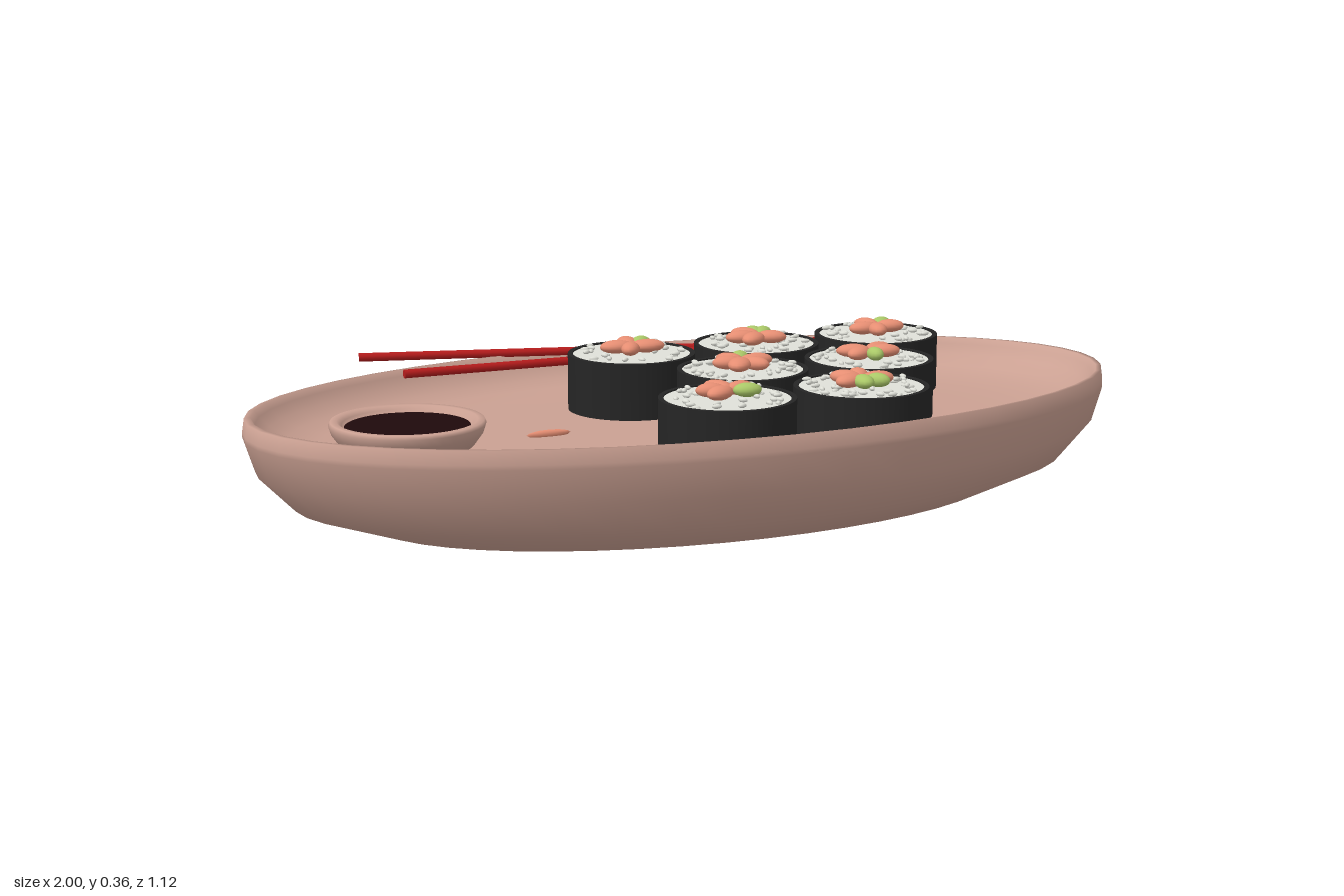
import * as THREE from 'three';

const mat = (name, color) => {
  const m = new THREE.MeshStandardMaterial({ color });
  m.name = name;
  return m;
};

export function createModel() {
  const root = new THREE.Group();
  const clay = mat('clay', 0xcaa092);
  const nori = mat('seaweed', 0x252525);
  const riceMat = mat('rice', 0xdfe0d8);
  const salmon = mat('salmon', 0xe68e73);
  const avocado = mat('avocado', 0xaac868);
  const lacquer = mat('red lacquer', 0xb41c1c);
  const soy = mat('soy sauce', 0x1f090b);

  let seed = 7;
  const rand = () => (seed = (seed * 16807) % 2147483647) / 2147483647;

  const add = (parent, name, geometry, material, x = 0, y = 0, z = 0) => {
    const mesh = new THREE.Mesh(geometry, material);
    mesh.name = name;
    mesh.position.set(x, y, z);
    parent.add(mesh);
    return mesh;
  };
  const lathe = (points, sides) =>
    new THREE.LatheGeometry(points.map(([r, y]) => new THREE.Vector2(r, y)), sides);

  // Oval platter: one closed profile, outside then inside
  const platter = add(root, 'platter', lathe([
    [0, 0], [0.35, 0.004], [0.53, 0.01], [0.73, 0.03], [0.9, 0.088], [0.975, 0.165],
    [0.999, 0.24], [0.999, 0.25], [0.994, 0.28], [0.981, 0.28], [0.972, 0.266],
    [0.95, 0.244], [0.91, 0.222], [0.85, 0.207], [0.75, 0.199], [0.6, 0.197],
    [0.4, 0.198], [0, 0.198],
  ], 48), clay, 0, 0, 0.032);
  platter.scale.z = 0.528;

  // Thin sliver on the platter floor
  add(root, 'sliver', new THREE.SphereGeometry(1, 10, 6), salmon, -0.34, 0.203, 0.03)
    .scale.set(0.05, 0.009, 0.008);

  // Sauce dish
  const dish = new THREE.Group();
  dish.name = 'sauceDish';
  dish.position.set(-0.652, 0, 0.022);
  root.add(dish);
  add(dish, 'dishBowl', lathe([
    [0.1, 0.19], [0.14, 0.206], [0.16, 0.234], [0.166, 0.252], [0.162, 0.26],
    [0.148, 0.26], [0.138, 0.253], [0.13, 0.238], [0, 0.235],
  ], 40), clay);
  add(dish, 'sauce', new THREE.CylinderGeometry(0.133, 0.133, 0.005, 40), soy, 0, 0.2445, 0);

  // Rolls: centre, salmon angles, avocado angles (degrees, seen from above)
  const rolls = [
    [-0.066, -0.171, [85, 175, 245, -20], [38]],
    [0.244, -0.171, [175, 235, -35, 110], [45, 75]],
    [0.554, -0.171, [100, 190, -5, 250], [45]],
    [0.089, 0.094, [120, 175, 10, 235, -60], [75]],
    [0.399, 0.094, [30, 150, 205, -15], [262]],
    [-0.066, 0.359, [100, 160, 220, 20], [-28]],
    [0.244, 0.359, [75, 135, 200, -15], [250, -60]],
  ];
  const wrapGeo = lathe([
    [0.13, 0.196], [0.144, 0.196], [0.144, 0.196], [0.144, 0.325], [0.144, 0.325],
    [0.133, 0.325], [0.133, 0.325], [0.133, 0.3],
  ], 40);
  const riceGeo = new THREE.CylinderGeometry(0.134, 0.134, 0.115, 40);
  const pieceGeo = new THREE.SphereGeometry(1, 14, 10);
  const grainGeo = new THREE.SphereGeometry(1, 8, 5);

  rolls.forEach(([x, z, salmonAngles, avocadoAngles]) => {
    const roll = new THREE.Group();
    roll.name = 'roll';
    roll.position.set(x, 0, z);
    root.add(roll);
    add(roll, 'seaweedWrap', wrapGeo, nori);
    add(roll, 'riceFilling', riceGeo, riceMat, 0, 0.2645, 0);

    // Loose grains around the filling
    for (let i = 0; i < 40; i++) {
      const a = rand() * Math.PI * 2;
      const r = 0.05 + 0.072 * Math.sqrt(rand());
      const grain = add(roll, 'riceGrain', grainGeo, riceMat,
        Math.cos(a) * r, 0.322 + rand() * 0.01, Math.sin(a) * r);
      grain.scale.set(0.011, 0.005, 0.006);
      grain.rotation.y = rand() * Math.PI;
    }

    // Petal-like filling pieces of uneven size
    const piece = (name, material, degrees, radius, length, width, y) => {
      const a = THREE.MathUtils.degToRad(degrees);
      const size = 0.9 + rand() * 0.25;
      const mesh = add(roll, name, pieceGeo, material,
        Math.cos(a) * radius, y, -Math.sin(a) * radius);
      mesh.scale.set(length * size, 0.015, width * size);
      mesh.rotation.y = a + (rand() - 0.5) * 0.5;
    };
    salmonAngles.forEach((d) => piece('salmonPiece', salmon, d, 0.035, 0.036, 0.022, 0.34));
    avocadoAngles.forEach((d) => piece('avocadoPiece', avocado, d, 0.041, 0.03, 0.02, 0.341));
  });

  // Chopsticks, tapering to the tip, with a pale band near it
  const chopstick = (from, to) => {
    const a = new THREE.Vector3(...from);
    const b = new THREE.Vector3(...to);
    const length = a.distanceTo(b);
    const stick = new THREE.Group();
    stick.name = 'chopstick';
    stick.position.copy(a).lerp(b, 0.5);
    stick.quaternion.setFromUnitVectors(new THREE.Vector3(0, 1, 0), b.clone().sub(a).normalize());
    root.add(stick);
    add(stick, 'stick', new THREE.CylinderGeometry(0.009, 0.01, length, 10), lacquer);
    add(stick, 'band', new THREE.CylinderGeometry(0.0108, 0.0108, 0.07, 10), salmon,
      0, length / 2 - 0.1, 0);
  };
  chopstick([-0.55, 0.283, -0.336], [0.515, 0.283, -0.334]);
  chopstick([-0.593, 0.285, -0.555], [0.44, 0.288, -0.283]);

  return root;
}
